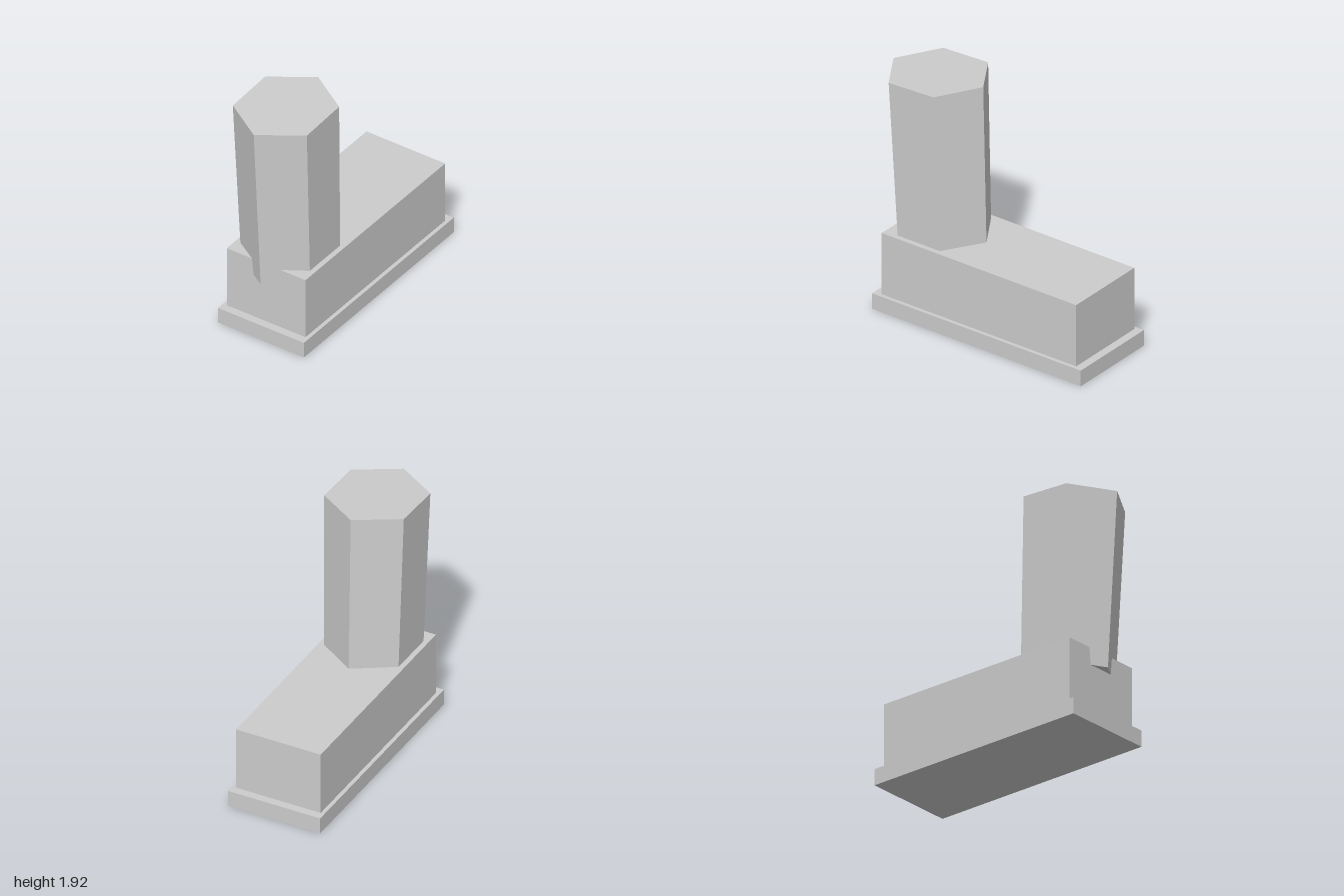
import * as THREE from 'three';

export function createModel() {
  const group = new THREE.Group();
  const grey = new THREE.MeshStandardMaterial({ color: 0xcccccc, flatShading: true });
  grey.name = 'light grey';

  const add = (name, geometry, x, y, z) => {
    const mesh = new THREE.Mesh(geometry, grey);
    mesh.name = name;
    mesh.position.set(x, y, z);
    group.add(mesh);
    return mesh;
  };

  // Stepped rectangular base
  add('basePlate', new THREE.BoxGeometry(0.76, 0.13, 1.905), 0, 0.065, -0.0475);
  add('body', new THREE.BoxGeometry(0.698, 0.51, 1.775), 0, 0.385, -0.0475);

  // Tapered hexagonal column, slightly narrow in x and leaning forward
  const column = add('column', new THREE.CylinderGeometry(0.41, 0.382, 1.391, 6), 0, 1.212, 0.558);
  column.scale.x = 0.925;
  column.rotation.x = 0.043;

  return group;
}
